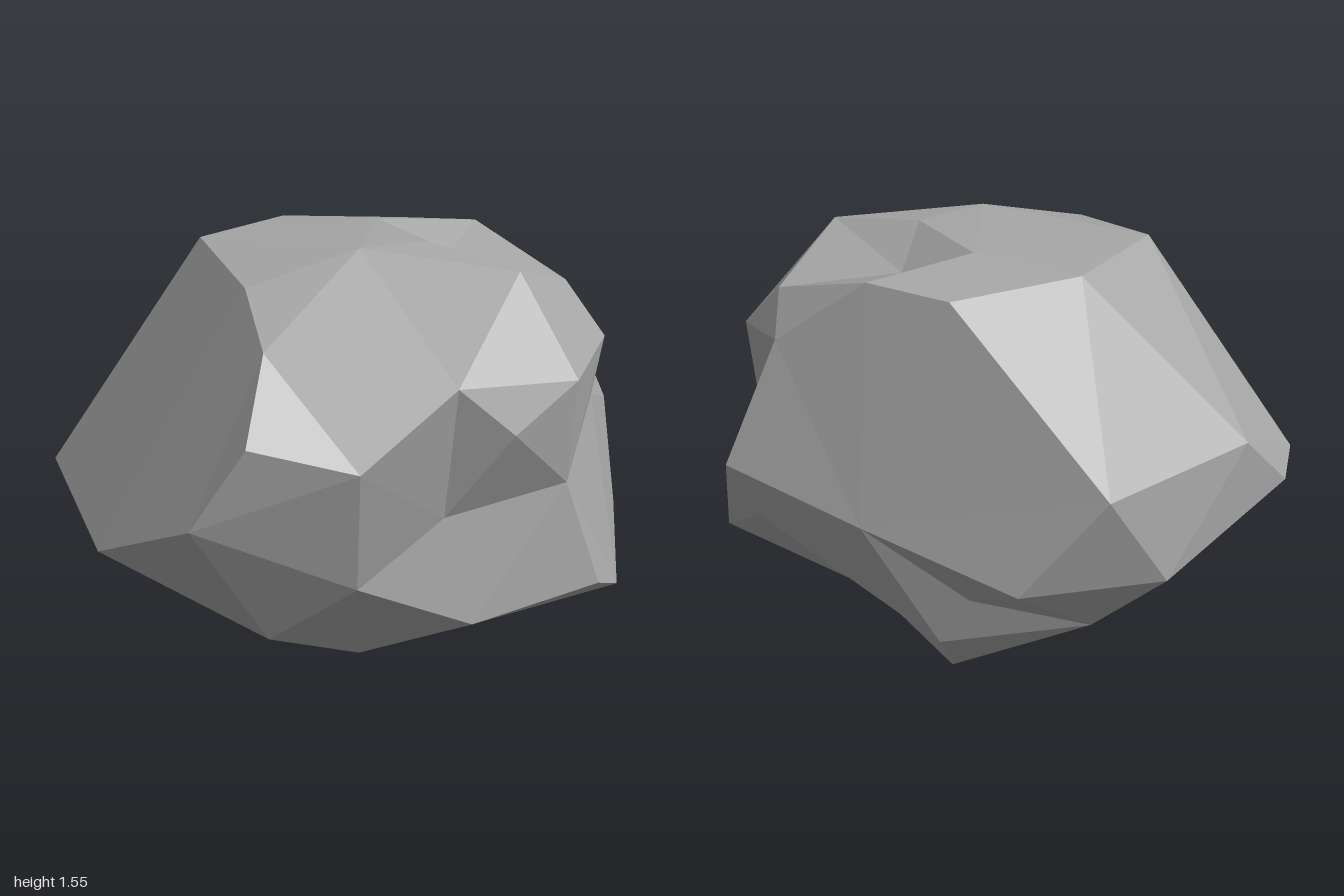
import * as THREE from 'three';
import { ConvexGeometry } from 'three/addons/geometries/ConvexGeometry.js';

// Corner points of the boulder, grouped in bands from the ground up
const foot = [
  [0.31, 0, -0.12], [0.43, 0.19, 0.215], [-0.16, 0.155, 0.39], [-0.16, 0.15, -0.29],
  [0.49, 0.26, -0.325], [0.07, 0.335, -0.625],
];
const lowerBand = [
  [0.69, 0.36, 0.72], [0.47, 0.47, 0.9], [0, 0.4, 0.85], [-0.585, 0.355, 0.54],
  [-1, 0.6, 0.12], [0.91, 0.53, 0.4], [0.43, 0.45, -0.42], [0, 0.63, -0.935],
  [0.47, 0.635, -0.765], [-0.375, 0.56, 0.75],
];
const middleBand = [
  [0.9, 0.66, 0.17], [1, 0.865, 0.2], [0.75, 0.75, -0.26], [0.24, 0.98, -0.935],
  [-0.375, 1, -0.87], [-0.62, 0.77, -0.8], [-0.89, 0.72, -0.53], [-0.9, 0.81, 0.62],
  [-0.07, 0.76, 0.78], [0.36, 0.83, 0.85], [0.73, 0.98, 0.475],
];
const upperBand = [
  [-0.75, 1.08, 0.72], [-0.42, 0.98, 0.845], [0.1, 1.05, 0.925], [0.355, 1.19, 0.9],
  [-0.075, 1.21, 0.86], [0.725, 1.21, 0.545], [0.81, 1.29, 0.16], [-0.59, 1.32, 0.535],
  [0.675, 1.38, 0.375],
];
const crown = [
  [0.315, 1.495, 0.615], [-0.5, 1.455, 0.235], [-0.43, 1.53, -0.245], [-0.105, 1.555, 0.29],
  [0.17, 1.55, 0.275], [0.205, 1.555, -0.12], [0.34, 1.44, 0.12], [0.595, 1.52, -0.08],
  [0.44, 1.5, -0.335], [0, 1.53, -0.445],
];

// Skin the points: triangulate their directions on a sphere, then restore each
// corner to its true place, which keeps the hollows a plain hull would lose
function skin(points, centre) {
  const directions = points.map((p) => p.clone().sub(centre).normalize());
  const geometry = new ConvexGeometry(directions);
  const position = geometry.attributes.position;
  const v = new THREE.Vector3();
  for (let i = 0; i < position.count; i++) {
    v.fromBufferAttribute(position, i);
    let best = 0;
    directions.forEach((d, k) => {
      if (d.dot(v) > directions[best].dot(v)) best = k;
    });
    position.setXYZ(i, ...points[best].toArray());
  }
  geometry.computeVertexNormals();
  return geometry;
}

export function createModel() {
  const stone = new THREE.MeshStandardMaterial({ color: 0xa6a6a6, flatShading: true });
  stone.name = 'grey stone';

  const points = [foot, lowerBand, middleBand, upperBand, crown]
    .flat()
    .map((p) => new THREE.Vector3(...p));
  const boulder = new THREE.Mesh(skin(points, new THREE.Vector3(0, 0.8, 0)), stone);
  boulder.name = 'boulder';

  const group = new THREE.Group();
  group.name = 'rock';
  group.add(boulder);
  return group;
}
